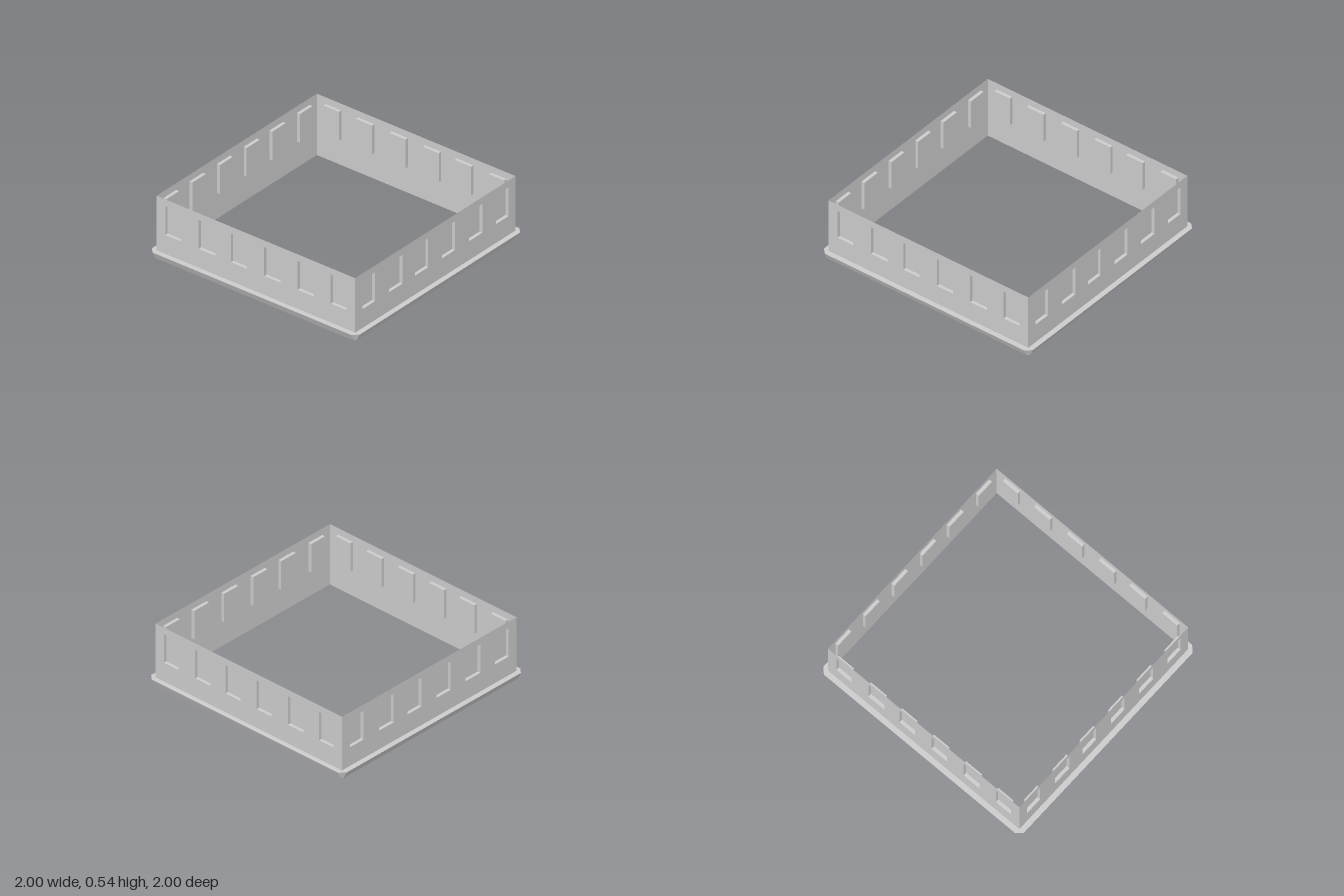
import * as THREE from 'three';

const HALF = 0.955, HEIGHT = 0.535;
const WIN_BOTTOM = 0.225, WIN_TOP = 0.477, RECESS = 0.028;
// left and right edge of every window along one wall
const WINDOWS = [[-0.87, -0.72], [-0.55, -0.39], [-0.24, -0.085], [0.08, 0.235], [0.4, 0.56], [0.72, 0.87]];

const material = new THREE.MeshStandardMaterial({ color: 0xcccccc, flatShading: true, side: THREE.DoubleSide });

function addMesh(parent, geometry, name) {
  const mesh = new THREE.Mesh(geometry, material);
  mesh.name = name;
  parent.add(mesh);
  return mesh;
}

function rectangle(PathType, x0, y0, x1, y1) {
  const p = new PathType();
  p.moveTo(x0, y0).lineTo(x1, y0).lineTo(x1, y1).lineTo(x0, y1).closePath();
  return p;
}

// Recessed window: a closed pane and four reveals, open towards +z
function createWindow(x0, x1) {
  const group = new THREE.Group();
  group.name = 'recessedWindow';
  const w = x1 - x0, h = WIN_TOP - WIN_BOTTOM;
  group.position.set((x0 + x1) / 2, (WIN_BOTTOM + WIN_TOP) / 2, HALF);
  addMesh(group, new THREE.PlaneGeometry(w, h), 'windowPane').position.z = -RECESS;
  for (const s of [-1, 1]) {
    const jamb = addMesh(group, new THREE.PlaneGeometry(RECESS, h), 'windowJamb');
    jamb.position.set(s * w / 2, 0, -RECESS / 2);
    jamb.rotation.y = -s * Math.PI / 2;
    const ledge = addMesh(group, new THREE.PlaneGeometry(w, RECESS), s < 0 ? 'windowSill' : 'windowLintel');
    ledge.position.set(0, s * h / 2, -RECESS / 2);
    ledge.rotation.x = s * Math.PI / 2;
  }
  return group;
}

// Thin wall pierced by the window openings
function createWall() {
  const group = new THREE.Group();
  group.name = 'wall';
  const shape = rectangle(THREE.Shape, -HALF, 0, HALF, HEIGHT);
  for (const [x0, x1] of WINDOWS) {
    shape.holes.push(rectangle(THREE.Path, x0, WIN_BOTTOM, x1, WIN_TOP));
    group.add(createWindow(x0, x1));
  }
  addMesh(group, new THREE.ShapeGeometry(shape), 'wallPanel').position.z = HALF;
  return group;
}

// Flared ledge round the foot, swept through eight corners for clipped ends
function createLedge() {
  const section = [[0, 0], [0.016, 0], [0.045, 0.06], [0, 0.06]]; // outward offset, height
  const positions = [], index = [];
  for (let side = 0; side < 4; side++) {
    const c = Math.round(Math.cos(side * Math.PI / 2)), s = Math.round(Math.sin(side * Math.PI / 2));
    for (const x of [-HALF, HALF]) {
      for (const [out, y] of section) {
        const z = HALF + out;
        positions.push(x * c + z * s, y, z * c - x * s);
      }
    }
  }
  for (let i = 0; i < 8; i++) {
    for (let j = 0; j < 3; j++) {
      const a = i * 4 + j, b = ((i + 1) % 8) * 4 + j;
      index.push(a, b, b + 1, a, b + 1, a + 1);
    }
  }
  const geometry = new THREE.BufferGeometry();
  geometry.setAttribute('position', new THREE.Float32BufferAttribute(positions, 3));
  geometry.setIndex(index);
  const flat = geometry.toNonIndexed();
  flat.computeVertexNormals();
  return flat;
}

export function createModel() {
  const model = new THREE.Group();
  model.name = 'windowedStorey';
  ['frontWall', 'leftWall', 'backWall', 'rightWall'].forEach((name, i) => {
    const wall = createWall();
    wall.name = name;
    wall.rotation.y = i * Math.PI / 2;
    model.add(wall);
  });
  addMesh(model, createLedge(), 'baseLedge');
  return model;
}
